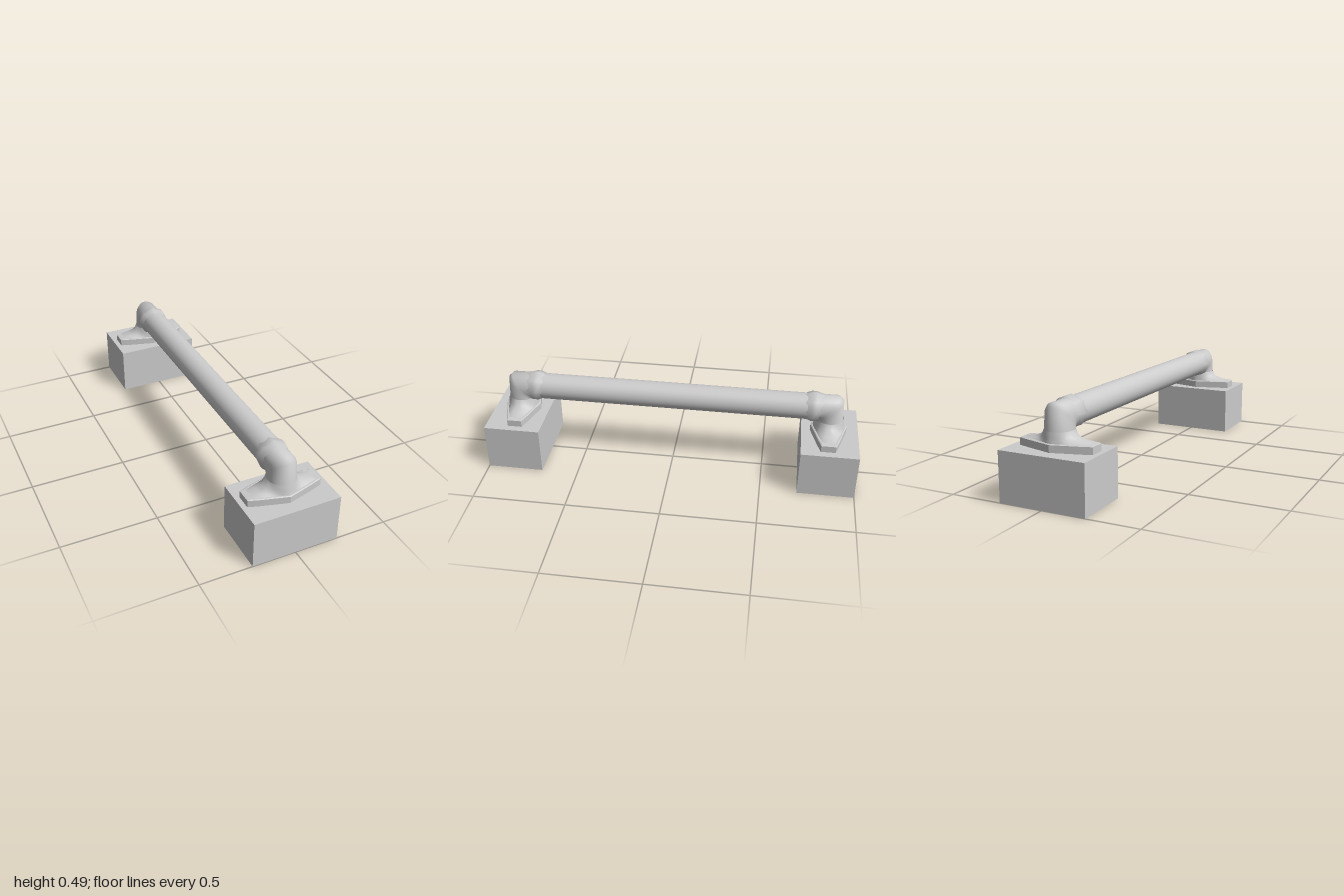
import * as THREE from 'three';
import { toCreasedNormals } from 'three/addons/utils/BufferGeometryUtils.js';

const SIDES = 32;
const RAIL_Y = 0.405, RAIL_R = 0.07, POST_Z = 0.84;
const material = new THREE.MeshStandardMaterial({ color: 0xcccccc, side: THREE.DoubleSide });

function add(parent, name, geometry) {
  const mesh = new THREE.Mesh(geometry, material);
  mesh.name = name;
  parent.add(mesh);
  return mesh;
}

// Skin over a list of rings; each ring is a function angle -> [x, y, z]
function loft(rings, crease) {
  const positions = [], index = [];
  rings.forEach((ring) => {
    for (let i = 0; i < SIDES; i++) positions.push(...ring((i / SIDES) * Math.PI * 2));
  });
  for (let r = 0; r < rings.length - 1; r++) {
    for (let i = 0; i < SIDES; i++) {
      const a = r * SIDES + i, b = r * SIDES + ((i + 1) % SIDES);
      index.push(a, b, a + SIDES, b, b + SIDES, a + SIDES);
    }
  }
  const g = new THREE.BufferGeometry();
  g.setAttribute('position', new THREE.Float32BufferAttribute(positions, 3));
  g.setIndex(index);
  return toCreasedNormals(g, crease);
}

// Radius of the blunt-ended diamond plate at an angle
function plateRadius(a) {
  const c = Math.abs(Math.cos(a)), s = Math.abs(Math.sin(a));
  return Math.min(0.195 / Math.max(c, 1e-6), 0.096 / (s + 0.28 * c));
}

// Horizontal ring that blends from a circle (k = 0) to the plate outline (k = 1)
const flatRing = (y, r, k = 0, scale = 1, z = POST_Z) => (a) => {
  const rad = THREE.MathUtils.lerp(r, plateRadius(a) * scale, k);
  return [rad * Math.cos(a), y, z - rad * Math.sin(a)];
};

// Tilted ring of the bend; sy and sz shear the circle towards the corner
const bendRing = (y, z, sy, sz) => (a) => {
  const s = -RAIL_R * Math.sin(a);
  return [RAIL_R * Math.cos(a), y + s * sy, z + s * sz];
};

// Plate, flared foot and elbow for one end of the rail
function createBracket() {
  const bracket = new THREE.Group();

  add(bracket, 'mountingPlate', loft([
    flatRing(0.25, 0, 1), flatRing(0.29, 0, 1), flatRing(0.293, 0, 1, 0.95), flatRing(0.293, 0),
  ], 0.5));

  add(bracket, 'flaredFoot', loft([
    flatRing(0.291, 0.08, 1, 0.9),
    flatRing(0.302, 0.08, 0.5, 0.9),
    flatRing(0.318, 0.079, 0.1, 0.9),
    flatRing(0.345, 0.074),
  ], 0.9));

  add(bracket, 'elbow', loft([
    flatRing(0.3, 0.078, 0, 1, 0.845),
    flatRing(0.34, 0.073, 0, 1, 0.838),
    bendRing(0.39, 0.835, 0.93, 1),
    bendRing(0.405, 0.82, 1, 0.93),
    bendRing(0.405, 0.72, 1, 0),
  ], 0.9));

  // Faceted ring where the elbow meets the rail
  const profile = [[0.069, -0.045], [0.082, -0.012], [0.082, 0.012], [0.069, 0.05]]
    .map(([r, h]) => new THREE.Vector2(r, h));
  const collar = add(bracket, 'collar', toCreasedNormals(new THREE.LatheGeometry(profile, 8), 0.9));
  collar.rotation.x = Math.PI / 2;
  collar.position.set(0, RAIL_Y + 0.002, 0.75);
  return bracket;
}

export function createModel() {
  const model = new THREE.Group();
  model.name = 'handrail';

  const rail = new THREE.Group();
  rail.name = 'railAssembly';
  rail.position.x = -0.006;
  model.add(rail);

  const bar = add(rail, 'bar', new THREE.CylinderGeometry(RAIL_R, RAIL_R, 1.48, SIDES, 1, true));
  bar.rotation.x = Math.PI / 2;
  bar.position.y = RAIL_Y;

  // Matching block and bracket at both ends
  [['front', 1], ['back', -1]].forEach(([end, sign]) => {
    const block = add(model, end + 'Block', new THREE.BoxGeometry(0.456, 0.254, 0.302));
    block.position.set(0, 0.127, sign * 0.849);

    const bracket = createBracket();
    bracket.name = end + 'Bracket';
    bracket.rotation.y = sign > 0 ? 0 : Math.PI;
    rail.add(bracket);
  });
  return model;
}
